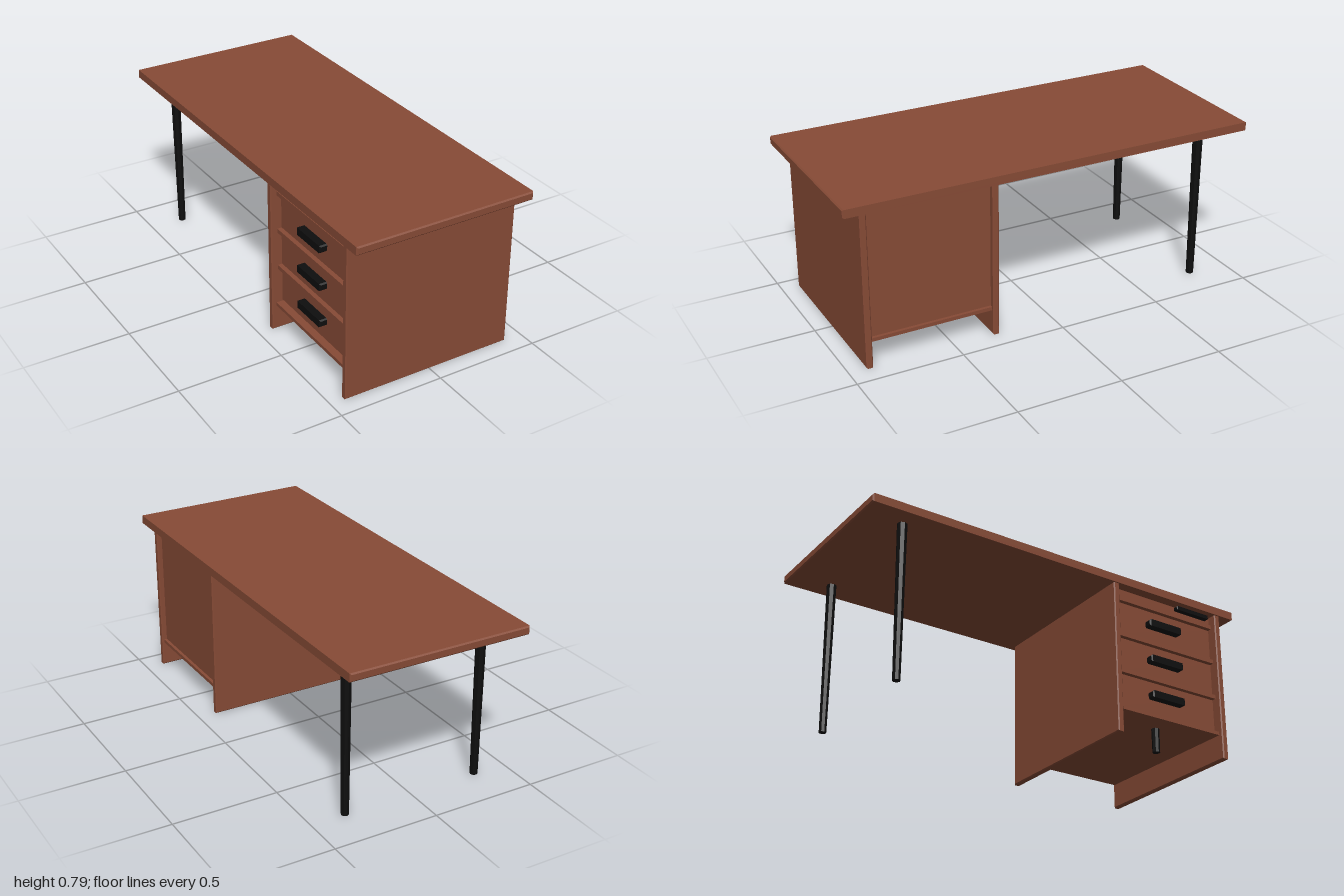
import * as THREE from 'three';

export function createModel() {
  const desk = new THREE.Group();
  desk.name = 'desk';
  const wood = new THREE.MeshStandardMaterial({ color: 0x874b36 });
  wood.name = 'brown wood';
  const black = new THREE.MeshStandardMaterial({ color: 0x0e0e0e });
  black.name = 'black';

  function add(name, geometry, material) {
    const mesh = new THREE.Mesh(geometry, material);
    mesh.name = name;
    desk.add(mesh);
    return mesh;
  }

  // Board between two limits on each axis, with chamfered edges
  function board(name, [x0, x1], [y0, y1], [z0, z1], material = wood, c = 0.005) {
    const s = new THREE.Shape();
    s.moveTo(x0 + c, y0 + c);
    s.lineTo(x1 - c, y0 + c);
    s.lineTo(x1 - c, y1 - c);
    s.lineTo(x0 + c, y1 - c);
    s.closePath();
    const g = new THREE.ExtrudeGeometry(s, {
      depth: z1 - z0 - 2 * c, bevelEnabled: true, bevelSegments: 1, bevelSize: c, bevelThickness: c,
    });
    g.translate(0, 0, z0 + c);
    return add(name, g, material);
  }

  // Plain square-edged box between limits
  function block(name, [x0, x1], [y0, y1], [z0, z1]) {
    const g = new THREE.BoxGeometry(x1 - x0, y1 - y0, z1 - z0);
    g.translate((x0 + x1) / 2, (y0 + y1) / 2, (z0 + z1) / 2);
    return add(name, g, wood);
  }

  // Top and the two full-height side panels
  board('tabletop', [-0.437, 0.437], [0.75, 0.79], [-1, 1], wood, 0.006);
  board('outerPanel', [-0.43, 0.41], [0.003, 0.755], [0.887, 0.918]);
  board('innerPanel', [-0.43, 0.41], [0.003, 0.755], [0.275, 0.306]);

  // Drawer cabinet between the panels, opening toward -x
  const span = [0.304, 0.889];
  block('cabinetBody', [-0.35, 0.385], [0.135, 0.752], span);
  board('cabinetBottom', [-0.41, 0.4], [0.125, 0.142], span, wood, 0.003);
  for (const y of [0.325, 0.51, 0.695]) {
    board('drawerDivider', [-0.4, -0.34], [y - 0.01, y + 0.01], span, wood, 0.003);
  }
  block('topRail', [-0.385, -0.34], [0.7, 0.752], span);

  // Drawers and their pulls
  [0.235, 0.417, 0.602].forEach((y) => {
    block('drawerFront', [-0.378, -0.34], [y - 0.088, y + 0.088], span);
    board('drawerHandle', [-0.415, -0.37], [y - 0.01, y + 0.025], [0.495, 0.685], black, 0.006);
  });
  board('trayHandle', [-0.41, -0.375], [0.728, 0.748], [0.67, 0.865], black, 0.004);

  // Tapered legs and the short cabinet foot
  function leg(name, x, z, top, rTop, rBottom) {
    const g = new THREE.CylinderGeometry(rTop, rBottom, top - 0.008, 8).toNonIndexed();
    g.computeVertexNormals();
    add(name, g, black).position.set(x, (top + 0.008) / 2, z);
  }
  for (const side of [-1, 1]) leg('leg', side * 0.335, -0.802, 0.755, 0.024, 0.018);
  leg('cabinetFoot', -0.3, 0.59, 0.13, 0.019, 0.018);

  return desk;
}
